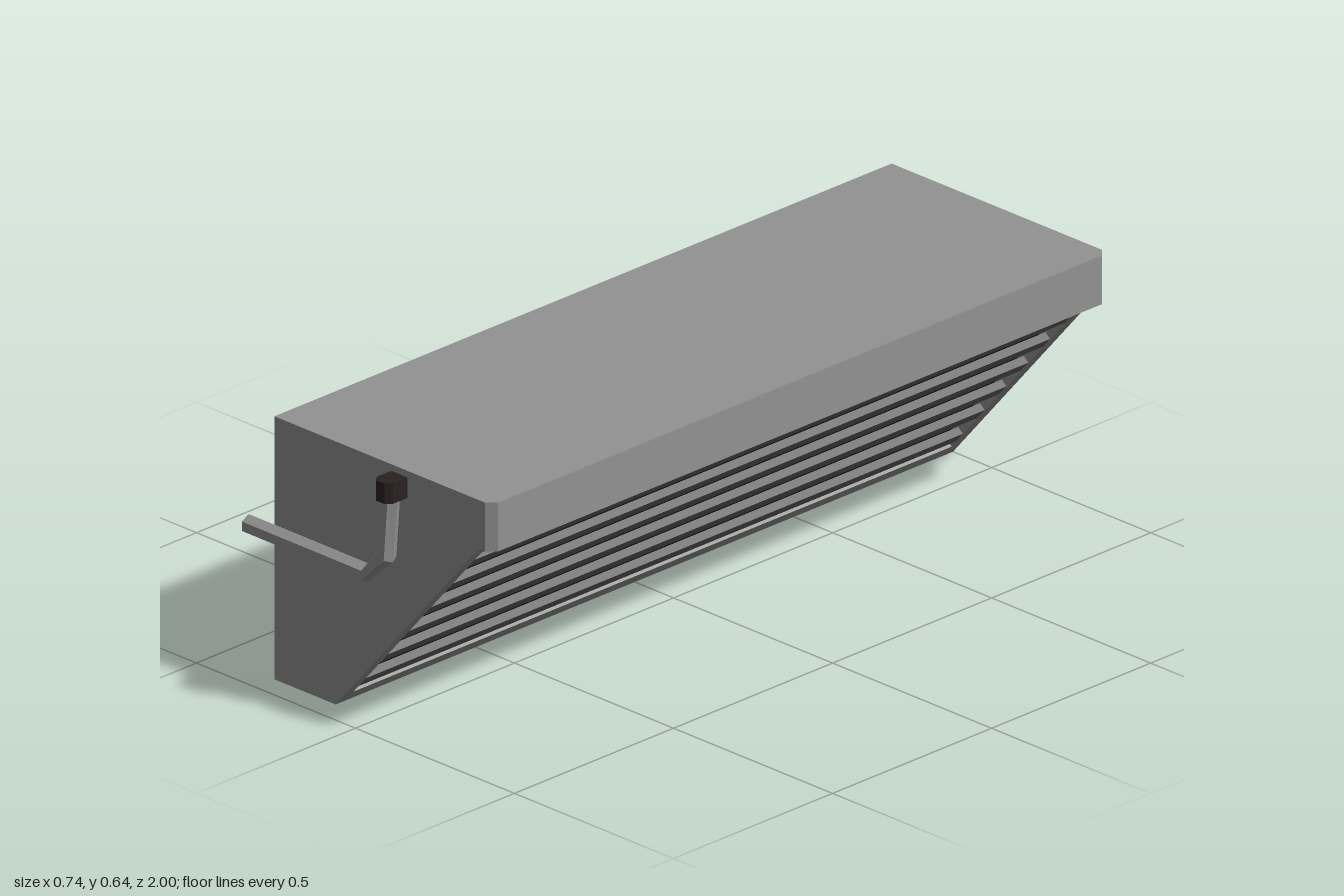
import * as THREE from 'three';

const GREY = new THREE.MeshStandardMaterial({ color: 0x939393, flatShading: true });
const SLAT = new THREE.MeshStandardMaterial({ color: 0x626262, flatShading: true });
const DARK = new THREE.MeshStandardMaterial({ color: 0x2a2121, flatShading: true });

const shapeOf = (pts) => new THREE.Shape(pts.map(([x, y]) => new THREE.Vector2(x, y)));

// Side profile [x, y] extruded from z0 to z1
function alongZ(pts, z0, z1) {
  return new THREE.ExtrudeGeometry(shapeOf(pts), { depth: z1 - z0, bevelEnabled: false }).translate(0, 0, z0);
}

// Plan outline [x, z] extruded from y0 to y1
function alongY(pts, y0, y1) {
  const shape = shapeOf(pts.map(([x, z]) => [x, -z]));
  return new THREE.ExtrudeGeometry(shape, { depth: y1 - y0, bevelEnabled: false })
    .rotateX(-Math.PI / 2).translate(0, y0, 0);
}

// Faceted pipe through [x, y] points; each ring is square to the run leading into it
function pipe(path, z, radius, sides) {
  const pos = [], index = [];
  const pts = path.map(([x, y]) => new THREE.Vector2(x, y));
  pts.forEach((p, i) => {
    const j = Math.max(i, 1);
    const dir = pts[j].clone().sub(pts[j - 1]).normalize();
    for (let k = 0; k < sides; k++) {
      const a = (k / sides) * Math.PI * 2, c = radius * Math.cos(a);
      pos.push(p.x - dir.y * c, p.y + dir.x * c, z + radius * Math.sin(a));
    }
  });
  for (let i = 0; i < pts.length - 1; i++) {
    for (let k = 0; k < sides; k++) {
      const a = i * sides + k, b = i * sides + (k + 1) % sides;
      index.push(a, b, a + sides, b, b + sides, a + sides);
    }
  }
  const last = (pts.length - 1) * sides;
  for (let k = 1; k < sides - 1; k++) {
    index.push(0, k + 1, k, last, last + k, last + k + 1);
  }
  const g = new THREE.BufferGeometry();
  g.setAttribute('position', new THREE.Float32BufferAttribute(pos, 3));
  g.setIndex(index);
  const flat = g.toNonIndexed();
  flat.computeVertexNormals();
  return flat;
}

export function createModel() {
  const model = new THREE.Group();
  const add = (name, geometry, material = GREY) => {
    const mesh = new THREE.Mesh(geometry, material);
    mesh.name = name;
    model.add(mesh);
  };

  const back = -0.315, lipX = 0.368, lipY = 0.522, top = 0.641;
  const z0 = -1, z1 = 0.94, rim = 0.03;
  const foot = new THREE.Vector2(-0.122, 0), brow = new THREE.Vector2(0.328, lipY);
  const slope = brow.clone().sub(foot).normalize();

  // Point on the sloping face at height y, sunk inwards by depth
  const onSlope = (y, depth = 0) => {
    const p = foot.clone().lerp(brow, y / lipY);
    return [p.x - slope.y * depth, p.y + slope.x * depth];
  };

  // Top slab with chamfered outer corners
  const ch = 0.021;
  add('topSlab', alongY([
    [back, z1], [lipX - ch, z1], [lipX, z1 - ch], [lipX, z0 + ch], [lipX - ch, z0], [back, z0],
  ], lipY, top));

  // Wedge body: solid ends and a middle with the grille recess
  const openLow = 0.03, openHigh = 0.496, depth = 0.03;
  const wedge = [[back, 0], [foot.x, 0], [brow.x, lipY], [back, lipY]];
  add('endFront', alongZ(wedge, z1 - rim, z1));
  add('endBack', alongZ(wedge, z0, z0 + rim));
  add('body', alongZ([
    [back, 0], [foot.x, 0],
    onSlope(openLow), onSlope(openLow, depth), onSlope(openHigh, depth), onSlope(openHigh),
    [brow.x, lipY], [back, lipY],
  ], z0 + rim, z1 - rim));

  // Dark panel at the bottom of the recess
  add('grillePanel', alongZ([
    onSlope(openLow, depth - 0.002), onSlope(openHigh, depth - 0.002),
    onSlope(openHigh, depth + 0.004), onSlope(openLow, depth + 0.004),
  ], z0 + rim, z1 - rim), DARK);

  // Slats across the recess, almost flush with its rim
  for (let i = 0; i < 6; i++) {
    const y = 0.046 + i * 0.0795, h = 0.026;
    add('slat' + (i + 1), alongZ([
      onSlope(y, 0.001), onSlope(y + h, 0.001), onSlope(y + h, 0.02), onSlope(y, 0.02),
    ], z0 + rim, z1 - rim), SLAT);
  }

  // Bent pipe on the front end
  add('pipe', pipe([[-0.369, 0.371], [0.006, 0.37], [0.0685, 0.436], [0.079, 0.6]], 0.968, 0.023, 6));

  // Dark fitting joining the pipe to the body
  add('pipeFitting', alongY([
    [0.053, 0.935], [0.053, 0.986], [0.064, 1], [0.091, 1], [0.104, 0.986], [0.104, 0.935],
  ], 0.575, 0.625), DARK);

  return model;
}
